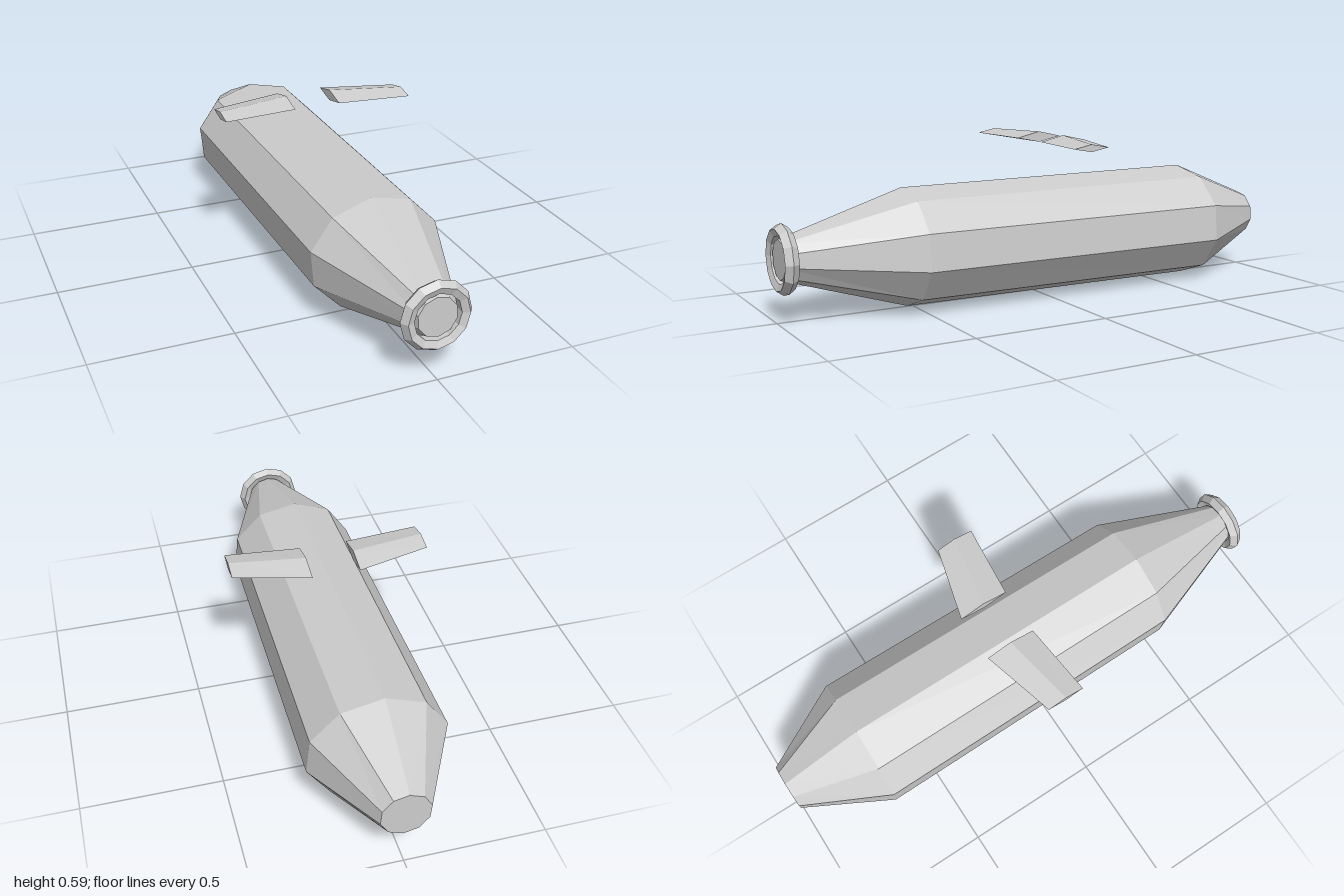
import * as THREE from 'three';

// Skin a list of equal-length cross-sections (each counter-clockwise about the direction of travel), with capped ends
function loft(sections) {
  const n = sections[0].length;
  const last = sections.length - 1;
  const position = sections.flat(2);
  const index = [];
  for (let s = 0; s < last; s++) {
    for (let i = 0; i < n; i++) {
      const j = (i + 1) % n;
      const a = s * n + i, b = s * n + j;
      index.push(a, b, b + n, a, b + n, a + n);
    }
  }
  for (let i = 1; i < n - 1; i++) {
    index.push(0, i + 1, i);
    index.push(last * n, last * n + i, last * n + i + 1);
  }
  const g = new THREE.BufferGeometry();
  g.setAttribute('position', new THREE.Float32BufferAttribute(position, 3));
  g.setIndex(index);
  const flat = g.toNonIndexed();
  flat.computeVertexNormals();
  return flat;
}

// Ten-sided oval in the xy plane, slightly rolled
function oval(z, rx, ry, cy) {
  return Array.from({ length: 10 }, (_, i) => {
    const a = THREE.MathUtils.degToRad(94.6 + i * 36);
    return [rx * Math.cos(a), cy + ry * Math.sin(a), z];
  });
}

// Diamond airfoil in the yz plane
function airfoil(x, top, bottom, front, back) {
  const mid = (front + back) / 2;
  return [[x, top, mid], [x, 0.576, front], [x, bottom, mid], [x, 0.576, back]];
}

export function createModel() {
  const model = new THREE.Group();
  const grey = new THREE.MeshStandardMaterial({ color: 0xcccccc, flatShading: true });
  grey.name = 'light grey';

  const add = (name, geometry) => {
    const mesh = new THREE.Mesh(geometry, grey);
    mesh.name = name;
    model.add(mesh);
    return mesh;
  };

  // Hull tapering to both ends
  add('hull', loft([
    oval(-1, 0.088, 0.086, 0.222),
    oval(-0.69, 0.254, 0.218, 0.22),
    oval(0.53, 0.244, 0.212, 0.221),
    oval(0.985, 0.071, 0.071, 0.221),
  ]));

  // Collar around the nose
  const profile = [
    [0.083, -0.015], [0.108, -0.025], [0.125, 0], [0.108, 0.025], [0.083, 0.015], [0.083, -0.015],
  ].map(([r, h]) => new THREE.Vector2(r, h));
  const ring = new THREE.LatheGeometry(profile, 12);
  ring.rotateX(Math.PI / 2);
  add('noseRing', ring).position.set(0, 0.221, 0.973);

  // Pair of swept wings above the hull
  for (const side of [1, -1]) {
    const root = airfoil(side * 0.087, 0.597, 0.557, 0.015, -0.173);
    const tip = airfoil(side * 0.36, 0.59, 0.563, 0.042, -0.1);
    add(side > 0 ? 'leftWing' : 'rightWing', loft(side > 0 ? [root, tip] : [tip, root]));
  }

  return model;
}
